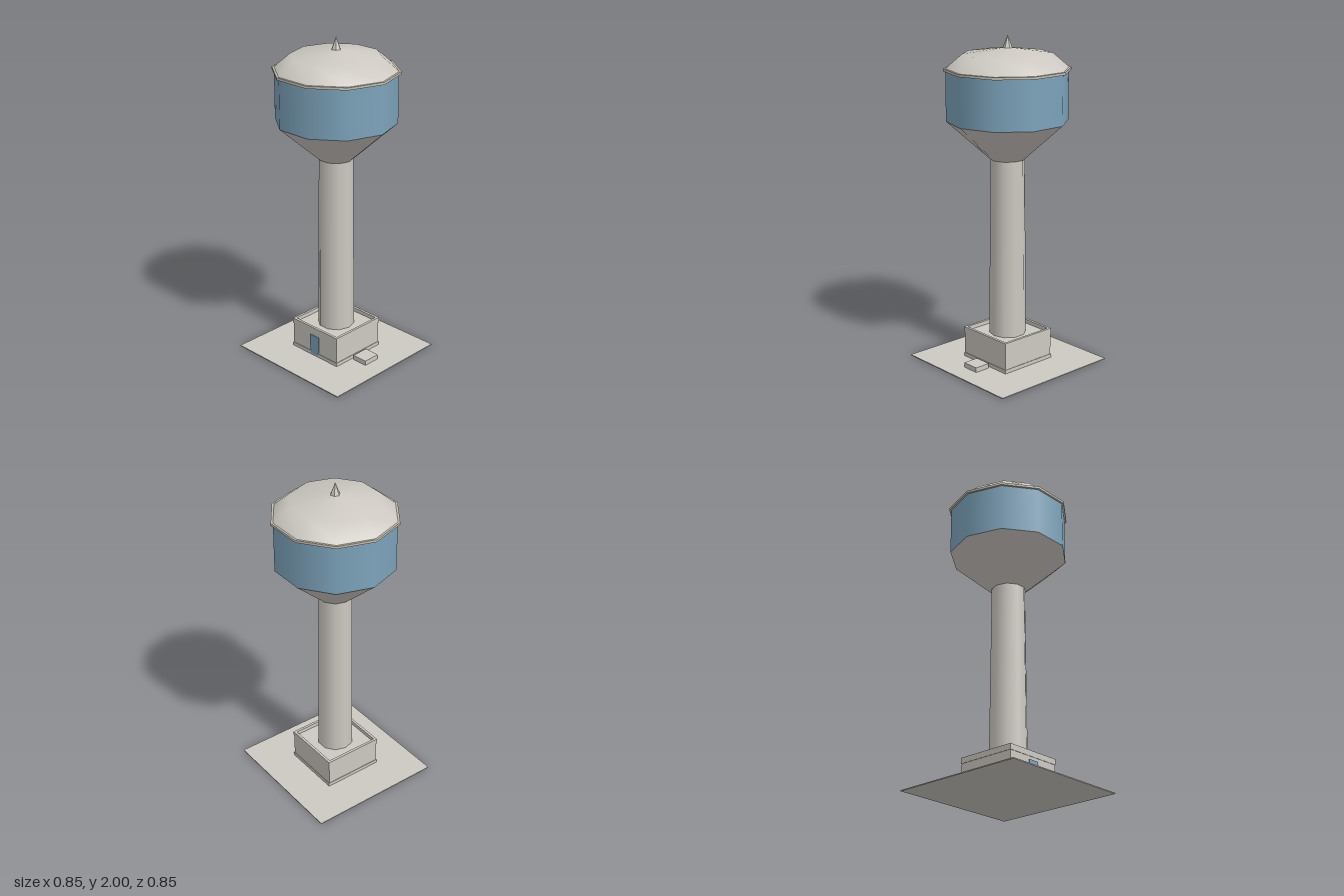
import * as THREE from 'three';

export function createModel() {
  const group = new THREE.Group();
  const mat = (name, color, side = THREE.FrontSide) => {
    const m = new THREE.MeshStandardMaterial({ color, side });
    m.name = name;
    return m;
  };
  const concrete = mat('concrete', 0xcdc9c2);
  const blue = mat('blue paint', 0x7da4bc);
  const trim = mat('tan trim', 0xc6bfb0);

  const add = (name, geo, material, x = 0, y = 0, z = 0) => {
    const mesh = new THREE.Mesh(geo, material);
    mesh.name = name;
    mesh.position.set(x, y, z);
    group.add(mesh);
    return mesh;
  };
  const box = (name, w, h, d, x, y, z, m = concrete) =>
    add(name, new THREE.BoxGeometry(w, h, d), m, x, y + h / 2, z);
  // Ten-sided smooth drum with a corner on +x
  const drum = (name, rTop, rBottom, y0, y1, m, open = false) =>
    add(name, new THREE.CylinderGeometry(rTop, rBottom, y1 - y0, 10, 1, open, Math.PI / 2), m, 0, (y0 + y1) / 2, 0);

  // Ground slab and equipment pad
  box('groundSlab', 0.854, 0.006, 0.854, 0, 0, 0);
  box('equipmentPad', 0.1, 0.03, 0.11, 0.255, 0.006, 0);

  // Base building: plinth, walls, recessed roof with parapet
  box('plinth', 0.38, 0.025, 0.38, 0, 0.004, 0);
  box('baseBuilding', 0.374, 0.15, 0.374, 0, 0.025, 0);
  for (const s of [-1, 1]) {
    box('parapetSide', 0.016, 0.035, 0.38, s * 0.182, 0.165, 0);
    box('parapetEnd', 0.348, 0.035, 0.016, 0, 0.165, s * 0.182);
  }

  // Door on the front, slightly narrower at its foot
  const door = new THREE.Shape([
    [-0.03, 0.015], [0.03, 0.015], [0.03, 0.04], [0.036, 0.04],
    [0.036, 0.145], [-0.036, 0.145], [-0.036, 0.04], [-0.03, 0.04],
  ].map(([x, y]) => new THREE.Vector2(x, y)));
  add('door', new THREE.ExtrudeGeometry(door, { depth: 0.008, bevelEnabled: false }), blue, 0, 0, 0.185);

  // Tapered shaft, funnel and tank
  drum('shaft', 0.103, 0.113, 0.17, 1.28, concrete, true);
  drum('tankFunnel', 0.362, 0.105, 1.27, 1.5, concrete, true);
  drum('tank', 0.362, 0.362, 1.5, 1.8, blue, true);
  drum('tankRim', 0.375, 0.375, 1.795, 1.81, trim);

  // Domed roof
  const roof = [[0.362, 1.81], [0.265, 1.893], [0, 1.93]].map(([x, y]) => new THREE.Vector2(x, y));
  add('roofDome', new THREE.LatheGeometry(roof, 10), concrete).rotation.y = Math.PI / 2;

  // Six-sided finial, faceted
  const spike = new THREE.ConeGeometry(0.033, 0.085, 6).toNonIndexed();
  spike.computeVertexNormals();
  add('finial', spike, concrete, 0, 1.9575, 0).rotation.y = Math.PI * 0.58;

  return group;
}
